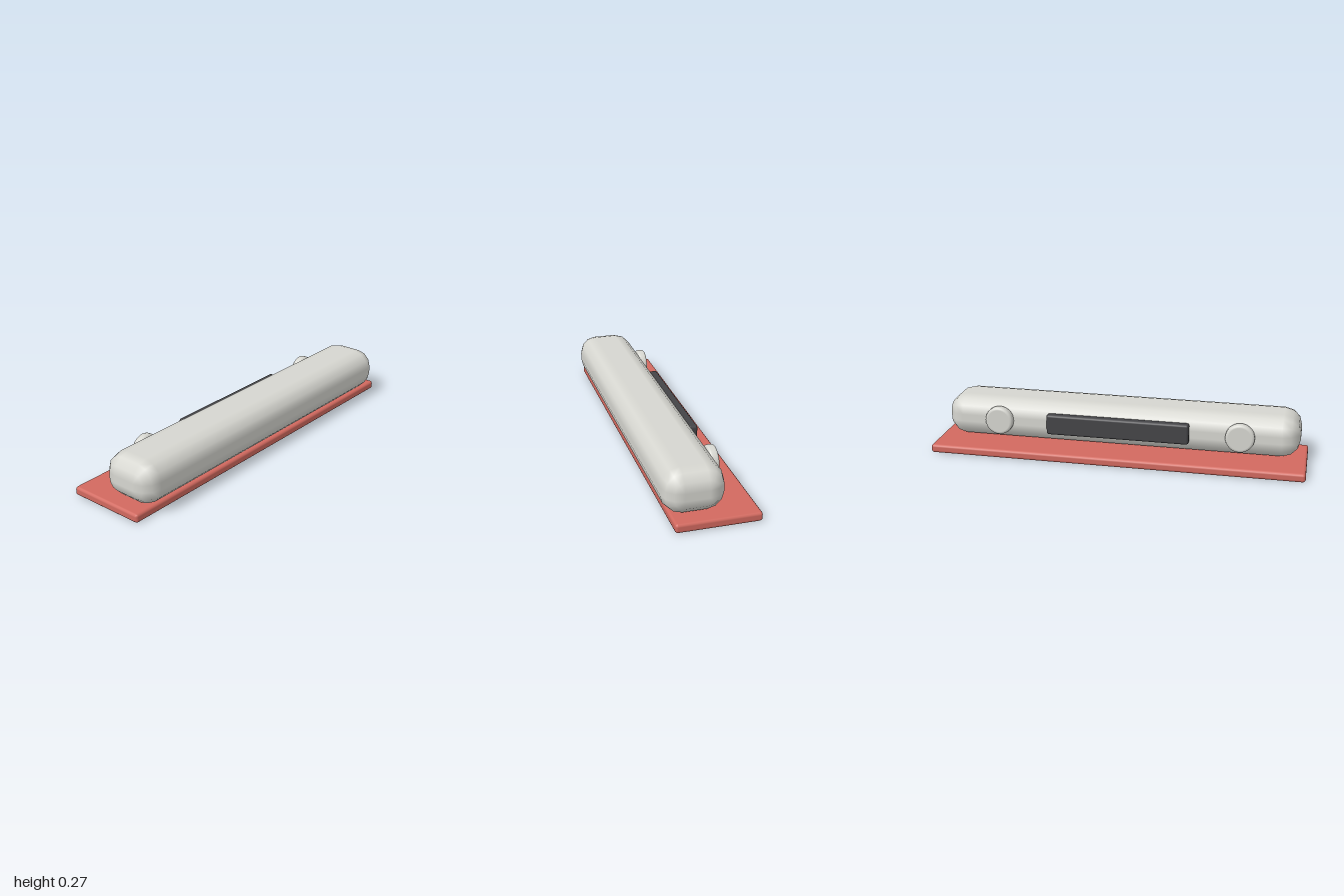
import * as THREE from 'three';

const paint = (name, color) => {
  const m = new THREE.MeshStandardMaterial({ color });
  m.name = name;
  return m;
};

// Box with round edges: rounded y-z sections lofted along x, n facets per quarter arc
function softBox(w, h, d, r, n) {
  const pos = [], nor = [], idx = [];
  const quarter = Math.PI / 2, ring = 4 * (n + 1), rings = 2 * (n + 1);
  for (let i = 0; i < rings; i++) {
    const sx = i <= n ? -1 : 1;
    const lat = -quarter + quarter * (i <= n ? i : i - 1) / n;
    for (let c = 0; c < 4; c++) {
      const sy = c === 0 || c === 3 ? 1 : -1, sz = c < 2 ? 1 : -1;
      for (let k = 0; k <= n; k++) {
        const a = quarter * (c + k / n);
        const nx = Math.sin(lat), ny = Math.cos(lat) * Math.cos(a), nz = Math.cos(lat) * Math.sin(a);
        nor.push(nx, ny, nz);
        pos.push(sx * (w / 2 - r) + r * nx, sy * (h / 2 - r) + r * ny, sz * (d / 2 - r) + r * nz);
      }
    }
  }
  for (let i = 0; i < rings - 1; i++) {
    for (let j = 0; j < ring; j++) {
      const k = (j + 1) % ring, a = i * ring, b = a + ring;
      idx.push(a + j, a + k, b + k, a + j, b + k, b + j);
    }
  }
  // flat ends
  const s = n + 1, e = (rings - 1) * ring;
  idx.push(0, 2 * s, s, 0, 3 * s, 2 * s, e, e + s, e + 2 * s, e, e + 2 * s, e + 3 * s);
  const g = new THREE.BufferGeometry();
  g.setAttribute('position', new THREE.Float32BufferAttribute(pos, 3));
  g.setAttribute('normal', new THREE.Float32BufferAttribute(nor, 3));
  g.setIndex(idx);
  return g;
}

// Round button with softened rims, its axis along z
function softDisc(radius, depth, r, n) {
  const pts = [new THREE.Vector2(0, -depth / 2), new THREE.Vector2(radius - r * 1.2, -depth / 2)];
  for (const side of [-1, 1]) {
    for (let k = 0; k <= n; k++) {
      const a = (Math.PI / 2) * (side < 0 ? k / n - 1 : k / n);
      pts.push(new THREE.Vector2(radius - r + r * Math.cos(a), side * (depth / 2 - r) + r * Math.sin(a)));
    }
  }
  pts.push(new THREE.Vector2(radius - r * 1.2, depth / 2), new THREE.Vector2(0, depth / 2));
  return new THREE.LatheGeometry(pts, 32).rotateX(Math.PI / 2);
}

export function createModel() {
  const model = new THREE.Group();
  const grey = paint('light grey', 0xd6d6d0);
  const red = paint('soft red', 0xd2695f);
  const dark = paint('charcoal', 0x444447);

  const add = (name, geometry, material, x, y, z) => {
    const mesh = new THREE.Mesh(geometry, material);
    mesh.name = name;
    mesh.position.set(x, y, z);
    model.add(mesh);
  };

  // flat base strip and the long rounded bar on it
  add('basePlate', softBox(2, 0.046, 0.423, 0.014, 3), red, 0, 0.023, -0.018);
  add('bar', softBox(1.92, 0.226, 0.308, 0.094, 3), grey, 0, 0.157, 0.076);

  // plate and two round buttons on the back
  add('backPlate', softBox(0.768, 0.11, 0.046, 0.012, 3), dark, 0, 0.163, -0.087);
  for (const side of [1, -1]) {
    add(side > 0 ? 'leftButton' : 'rightButton', softDisc(0.0765, 0.046, 0.013, 3), grey, side * 0.651, 0.1635, -0.087);
  }
  return model;
}
